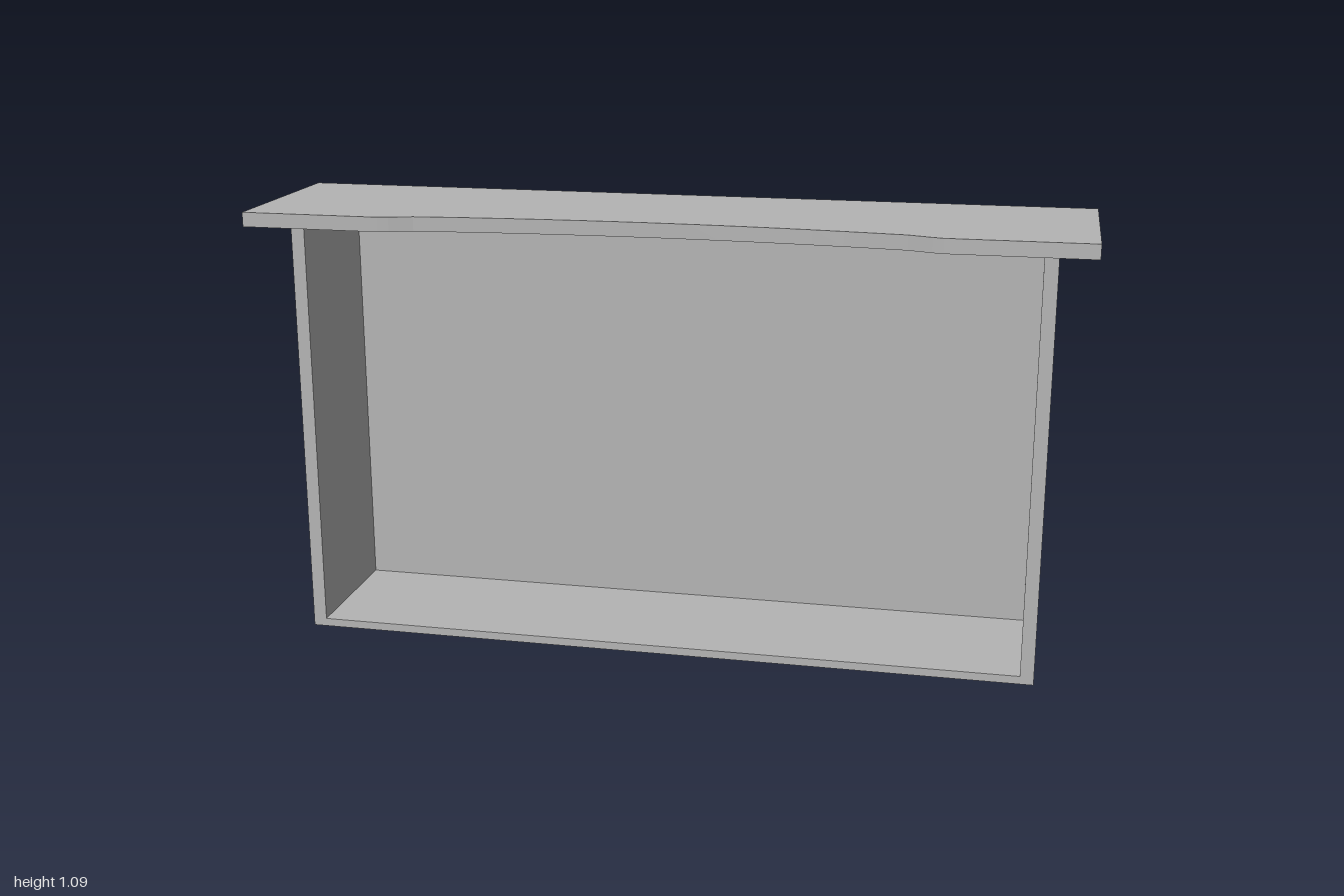
import * as THREE from 'three';

const grey = new THREE.MeshStandardMaterial({ color: 0xb4b4b4, side: THREE.DoubleSide });
grey.name = 'grey';

// Flat-shaded sheet joining two polylines of equal length
function ribbon(name, a, b) {
  const pos = [];
  for (let i = 0; i < a.length - 1; i++) {
    pos.push(...a[i], ...b[i], ...b[i + 1], ...a[i], ...b[i + 1], ...a[i + 1]);
  }
  const geo = new THREE.BufferGeometry();
  geo.setAttribute('position', new THREE.Float32BufferAttribute(pos, 3));
  geo.computeVertexNormals();
  const mesh = new THREE.Mesh(geo, grey);
  mesh.name = name;
  return mesh;
}

export function createModel() {
  const group = new THREE.Group();
  const top = 1.05, slabTop = 1.085, back = -0.235, front = 0.155, panelZ = -0.2;
  const outerX = 0.913, innerX = 0.88, floorY = 0.02;

  // U-shaped wall profiles: left wall, floor, right wall
  const profile = (x, y, z) => [[x, top, z], [x, y, z], [-x, y, z], [-x, top, z]];
  group.add(ribbon('outerShell', profile(outerX, 0, front), profile(outerX, 0, back)));
  group.add(ribbon('innerLining', profile(innerX, floorY, panelZ), profile(innerX, floorY, front)));
  group.add(ribbon('frontRim', profile(innerX, floorY, front), profile(outerX, 0, front)));

  // Back panel set in from the open rear edge
  group.add(ribbon('backPanel',
    [[-innerX, top, panelZ], [innerX, top, panelZ]],
    [[-innerX, floorY, panelZ], [innerX, floorY, panelZ]]));

  // Top board outline with a shallow curved recess along the front
  const outline = [[-1, back], [-1, 0.235], [-0.66, 0.235], [-0.635, 0.229]];
  const steps = 16, half = 0.58;
  for (let i = 0; i <= steps; i++) {
    const x = -half + (2 * half * i) / steps;
    outline.push([x, 0.177 + 0.034 * (x / half) ** 2]);
  }
  outline.push([0.635, 0.229], [0.66, 0.235], [1, 0.235], [1, back]);

  // Edge of the board, open at the back
  group.add(ribbon('topBoardEdge',
    outline.map(([x, z]) => [x, slabTop, z]),
    outline.map(([x, z]) => [x, top, z])));

  // Upper and lower faces of the board
  const shape = new THREE.Shape(outline.map(([x, z]) => new THREE.Vector2(x, -z)));
  for (const [name, y, flip] of [['topBoardUpper', slabTop, false], ['topBoardLower', top, true]]) {
    const geo = new THREE.ShapeGeometry(shape);
    geo.rotateX(-Math.PI / 2);
    if (flip) {
      geo.setIndex(Array.from(geo.index.array).reverse());
      geo.computeVertexNormals();
    }
    const mesh = new THREE.Mesh(geo, grey);
    mesh.name = name;
    mesh.position.y = y;
    group.add(mesh);
  }
  return group;
}
